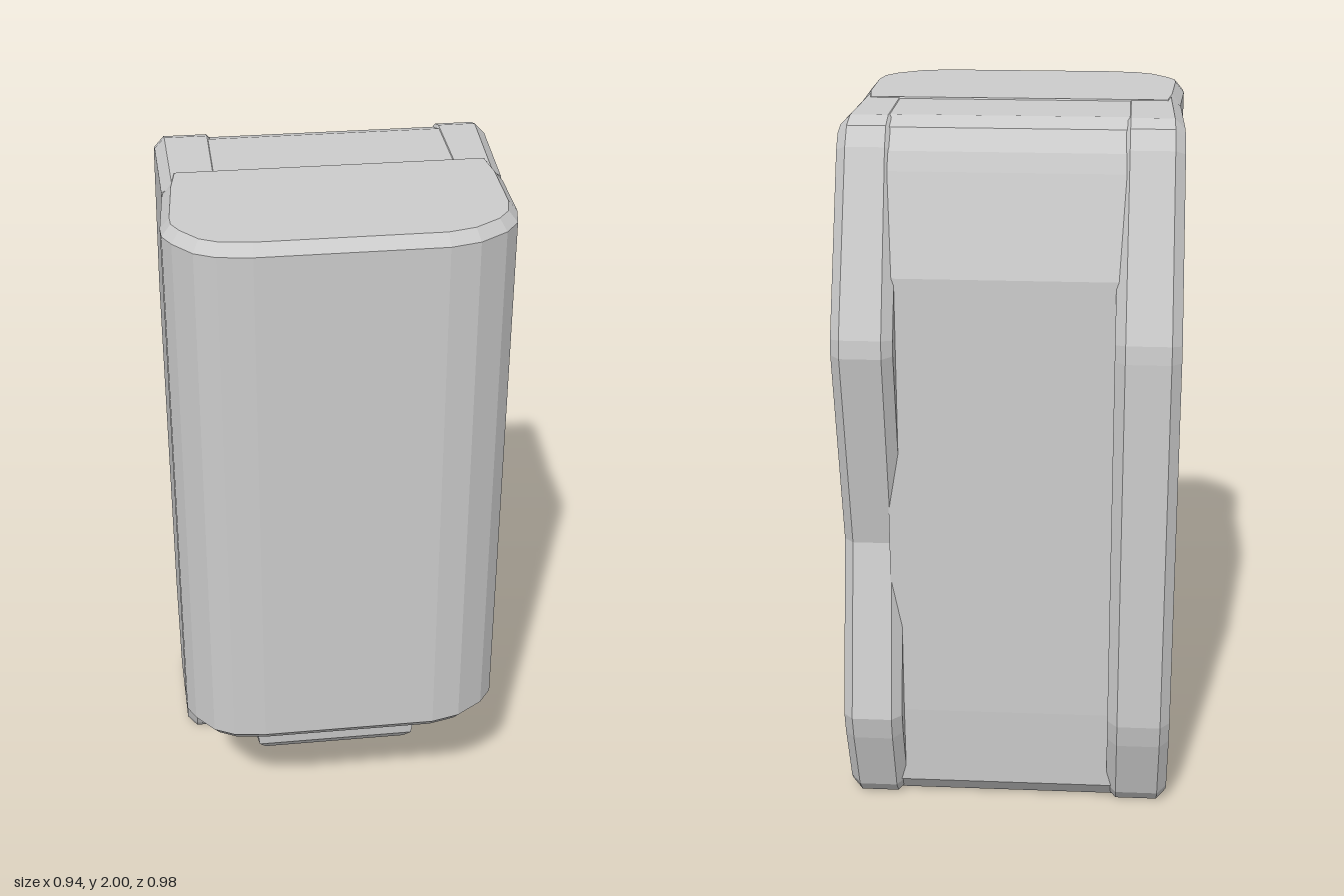
import * as THREE from 'three';

const material = new THREE.MeshStandardMaterial({ color: 0xcccccc, flatShading: true });

function part(name, geometry) {
  geometry.computeVertexNormals();
  const mesh = new THREE.Mesh(geometry, material);
  mesh.name = name;
  return mesh;
}

// Extrudes an outline by a total depth, with a chamfer that stays inside the outline
function slab(points, depth, bevel, bevelDepth = bevel) {
  const shape = new THREE.Shape(points.map(([a, b]) => new THREE.Vector2(a, b)));
  const g = new THREE.ExtrudeGeometry(shape, {
    depth: depth - 2 * bevelDepth, bevelEnabled: bevel > 0, bevelSegments: 1,
    bevelSize: bevel, bevelThickness: bevelDepth, bevelOffset: -bevel,
  });
  return g.translate(0, 0, bevelDepth);
}

// Side profile (z, y) extruded across the width from x0 to x1
function sideSlab(profile, x0, x1, bevel) {
  return slab(profile, x1 - x0, bevel).rotateY(-Math.PI / 2).translate(x1, 0, 0);
}

function moveVertices(geometry, rule) {
  const p = geometry.attributes.position;
  const v = new THREE.Vector3();
  for (let i = 0; i < p.count; i++) {
    rule(v.fromBufferAttribute(p, i));
    p.setXYZ(i, v.x, v.y, v.z);
  }
  return geometry;
}

export function createModel() {
  const group = new THREE.Group();

  // Front housing: plan outline (x, z) with faceted round corners, extruded upwards
  const plan = [
    [-0.44, 0], [-0.457, 0.11], [-0.47, 0.3], [-0.468, 0.345], [-0.445, 0.39], [-0.395, 0.45],
    [-0.34, 0.478], [-0.25, 0.49], [0.24, 0.49], [0.32, 0.47], [0.395, 0.42],
    [0.432, 0.37], [0.445, 0.3], [0.445, 0.11], [0.43, 0],
  ];
  const housing = slab(plan, 1.59, 0.025, 0.03).rotateX(Math.PI / 2).translate(0, 2, 0);
  group.add(part('frontHousing', housing));

  // Side rails share their top and bottom; only the left one has a notch at the back
  const railTop = [[0.11, 1.998], [-0.22, 1.998], [-0.275, 1.98], [-0.31, 1.93], [-0.485, 1.45], [-0.49, 1.4]];
  const railBottom = [
    [-0.49, 0.31], [-0.475, 0.24], [-0.41, 0.045], [-0.375, 0.005],
    [-0.08, 0.005], [-0.055, 0.035], [0.11, 0.41],
  ];
  const rails = [
    ['leftRail', [...railTop, [-0.388, 0.82], ...railBottom], 0.3, 0.468],
    ['rightRail', [...railTop, ...railBottom], -0.468, -0.29],
  ];
  for (const [name, profile, x0, x1] of rails) {
    const g = sideSlab(profile, x0, x1, 0.028);
    // The outer faces draw in slightly towards the front
    const taper = x0 > 0 ? 0.04 : 0.02;
    moveVertices(g, (v) => {
      if (Math.abs(v.x) > 0.4) v.x -= Math.sign(v.x) * taper * (v.z + 0.47);
    });
    group.add(part(name, g));
  }

  // Recessed centre between the rails
  const core = [
    [0.1, 1.996], [-0.2, 1.996], [-0.265, 1.975], [-0.305, 1.92], [-0.325, 1.87], [-0.408, 1.6],
    [-0.41, 0.3], [-0.4, 0.06], [-0.36, 0.01], [-0.1, 0.01], [0.1, 0.46],
  ];
  group.add(part('backPanel', sideSlab(core, -0.33, 0.33, 0)));

  // Lower front block, narrowing towards its chamfered bottom edge
  const block = new THREE.BoxGeometry(0.59, 0.44, 0.4, 1, 2, 1).translate(0.005, 0.22, -0.09);
  moveVertices(block, (v) => {
    const bottom = v.y < 0.1, middle = v.y < 0.3;
    if (bottom) v.y = 0.004;
    else if (middle) v.y = 0.04;
    if (middle && v.z > 0) {
      v.z = bottom ? 0.05 : 0.078;
      v.x = (v.x - 0.01) * (bottom ? 0.76 : 0.83) + 0.01;
    }
  });
  group.add(part('lowerFrontBlock', block));

  return group;
}
